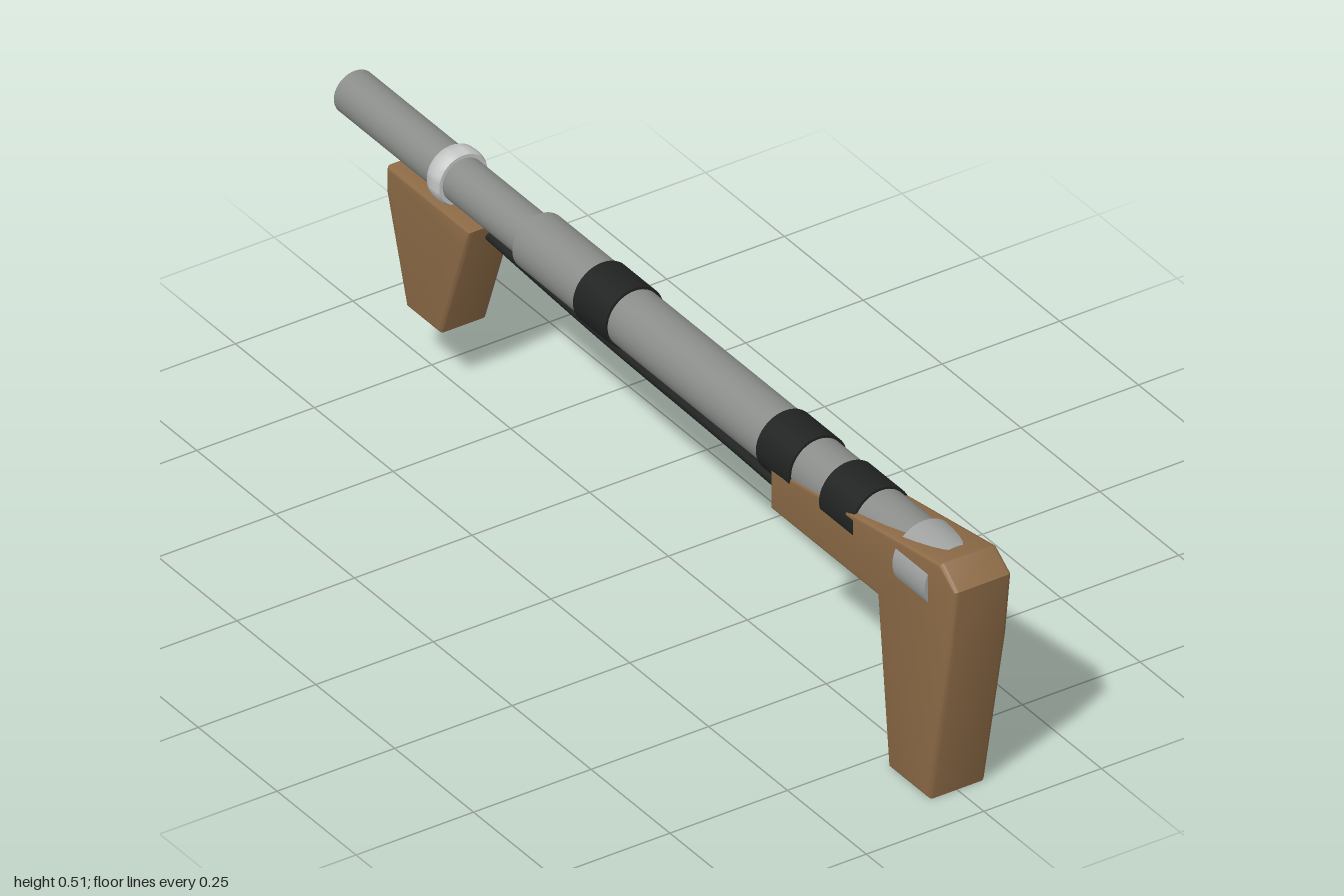
import * as THREE from 'three';
import { toCreasedNormals } from 'three/addons/utils/BufferGeometryUtils.js';

const AXIS_Y = 0.446;

export function createModel() {
  const group = new THREE.Group();
  const mat = (name, color) => {
    const m = new THREE.MeshStandardMaterial({ color });
    m.name = name;
    return m;
  };
  const wood = mat('wood', 0x8c6a46);
  const steel = mat('steel', 0x8a8d8a);
  const brightSteel = mat('bright steel', 0xa0a2a2);
  const ringMetal = mat('ring metal', 0xc4c6c6);
  const black = mat('black rubber', 0x212222);

  const add = (name, geometry, material) => {
    const mesh = new THREE.Mesh(geometry, material);
    mesh.name = name;
    group.add(mesh);
    return mesh;
  };

  // Closed cylinder along z between z0 and z1
  const rod = (name, r, z0, z1, material) => {
    const g = new THREE.CylinderGeometry(r, r, Math.abs(z1 - z0), 40);
    g.rotateX(Math.PI / 2);
    return add(name, g, material).position.set(0, AXIS_Y, (z0 + z1) / 2);
  };

  // Bevelled wooden block from a side profile of [z, y] points
  const block = (name, profile, width, bevel) => {
    const shape = new THREE.Shape(profile.map(([z, y]) => new THREE.Vector2(z, y)));
    const g = new THREE.ExtrudeGeometry(shape, {
      depth: width - 2 * bevel, bevelEnabled: true, bevelSize: bevel,
      bevelThickness: bevel, bevelOffset: -bevel, bevelSegments: 3,
    });
    g.translate(0, 0, -width / 2 + bevel);
    g.rotateY(-Math.PI / 2);
    return add(name, toCreasedNormals(g, 0.6), wood);
  };

  // Wooden pieces
  block('stock', [
    [0.41, 0.345], [0.75, 0.345], [0.785, 0.003], [0.915, 0.003], [0.983, 0.345],
    [1.0, 0.482], [0.95, 0.517], [0.41, 0.432],
  ], 0.12, 0.008);
  block('foregrip', [
    [-0.82, 0.402], [-0.82, 0.347], [-0.757, 0.14], [-0.65, 0.14],
    [-0.573, 0.355], [-0.555, 0.402],
  ], 0.1, 0.007);

  // Nested pipes
  rod('outerTube', 0.057, -0.41, 0.82, steel);
  rod('innerTube', 0.044, -0.995, -0.3, steel);
  rod('muzzleOpening', 0.038, -1.0, -0.99, black);
  rod('endCap', 0.067, 0.81, 0.912, brightSteel);

  // Tape wraps
  [[0.57, 0.674], [0.37, 0.474], [-0.21, -0.108]].forEach(([a, b], i) =>
    rod('tapeBand' + (i + 1), 0.0622, a, b, black));

  // Rounded clamp ring
  const ringProfile = [
    [0.042, -0.02], [0.051, -0.02], [0.055, -0.013], [0.056, 0],
    [0.055, 0.013], [0.051, 0.02], [0.042, 0.02],
  ].map(([r, h]) => new THREE.Vector2(r, h));
  const ring = new THREE.LatheGeometry(ringProfile, 40);
  ring.rotateX(Math.PI / 2);
  add('clampRing', toCreasedNormals(ring, 0.7), ringMetal).position.set(0, AXIS_Y, -0.67);

  // Slightly sagging cord beneath the pipes, closed at both ends
  const path = new THREE.CatmullRomCurve3(
    [[0.61, 0.331], [0.2, 0.348], [-0.2, 0.356], [-0.6, 0.376]]
      .map(([z, y]) => new THREE.Vector3(0, y, z)));
  add('cord', new THREE.TubeGeometry(path, 24, 0.01, 10), black);
  [0, 1].forEach((t) => {
    const cap = add('cordEnd', new THREE.SphereGeometry(0.01, 10, 8), black);
    cap.position.copy(path.getPoint(t));
    cap.scale.z = 0.3;
  });

  return group;
}
